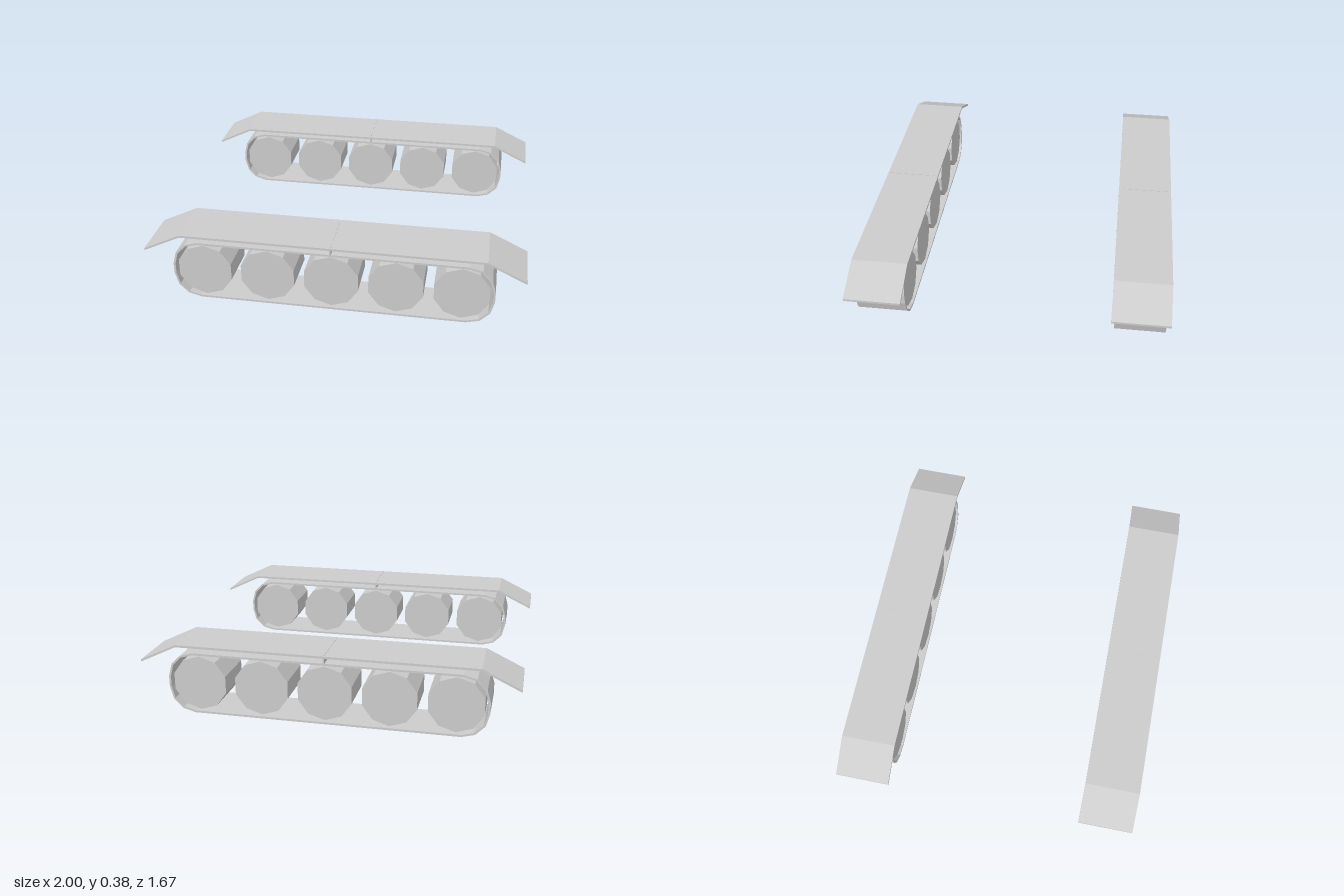
import * as THREE from 'three';

const material = new THREE.MeshStandardMaterial({ color: 0xcccccc, flatShading: true });
const TRACK_Z = 0.693, TRACK_WIDTH = 0.27;
const FENDER_Z = 0.687, FENDER_WIDTH = 0.3;
const MID_Y = 0.169;

function addMesh(group, name, geometry, x = 0, y = 0, z = 0) {
  const mesh = new THREE.Mesh(geometry, material);
  mesh.name = name;
  mesh.position.set(x, y, z);
  group.add(mesh);
}

// Extrude a side profile along z, centred on z = 0
function extrude(shape, width) {
  return new THREE.ExtrudeGeometry(shape, { depth: width, bevelEnabled: false })
    .translate(0, 0, -width / 2);
}

// Rectangle outline with faceted round corners (three segments each)
function beltOutline(halfX, halfY, radius) {
  const points = [];
  const corners = [[1, 1], [-1, 1], [-1, -1], [1, -1]];
  corners.forEach(([sx, sy], quarter) => {
    for (let i = 0; i <= 3; i++) {
      const a = (quarter + i / 3) * Math.PI / 2;
      points.push(new THREE.Vector2(
        sx * (halfX - radius) + radius * Math.cos(a),
        sy * (halfY - radius) + radius * Math.sin(a)));
    }
  });
  return points;
}

function createTrackUnit() {
  const unit = new THREE.Group();

  // Hollow belt
  const belt = new THREE.Shape(beltOutline(0.85, MID_Y, 0.14));
  belt.holes.push(new THREE.Path(beltOutline(0.839, MID_Y - 0.011, 0.129)));
  addMesh(unit, 'trackBelt', extrude(belt, TRACK_WIDTH), 0, MID_Y, TRACK_Z);

  // Five ten-sided road wheels
  for (let i = -2; i <= 2; i++) {
    const wheel = new THREE.CylinderGeometry(0.15, 0.15, TRACK_WIDTH - 0.02, 10).rotateX(Math.PI / 2);
    addMesh(unit, 'roadWheel', wheel, i * 0.34, MID_Y, TRACK_Z);
  }

  // Fender plate with sloping ends
  const top = [[-1, 0.284], [-0.8, 0.38], [0.8, 0.38], [1, 0.284]];
  const bottom = top.map(([x, y]) => [x, y - 0.012]).reverse();
  const fender = new THREE.Shape([...bottom.reverse(), ...top.slice().reverse()]
    .map(([x, y]) => new THREE.Vector2(x, y)));
  addMesh(unit, 'fender', extrude(fender, FENDER_WIDTH), 0, 0, FENDER_Z);

  // Thin bracket joining belt and fender, its edge just showing on top
  addMesh(unit, 'fenderBracket', new THREE.BoxGeometry(0.008, 0.047, TRACK_WIDTH), 0, 0.3585, TRACK_Z);

  return unit;
}

export function createModel() {
  const model = new THREE.Group();
  model.name = 'trackPair';
  const front = createTrackUnit();
  front.name = 'frontTrackUnit';
  const back = createTrackUnit();
  back.name = 'backTrackUnit';
  back.rotation.y = Math.PI;
  model.add(front, back);
  return model;
}
